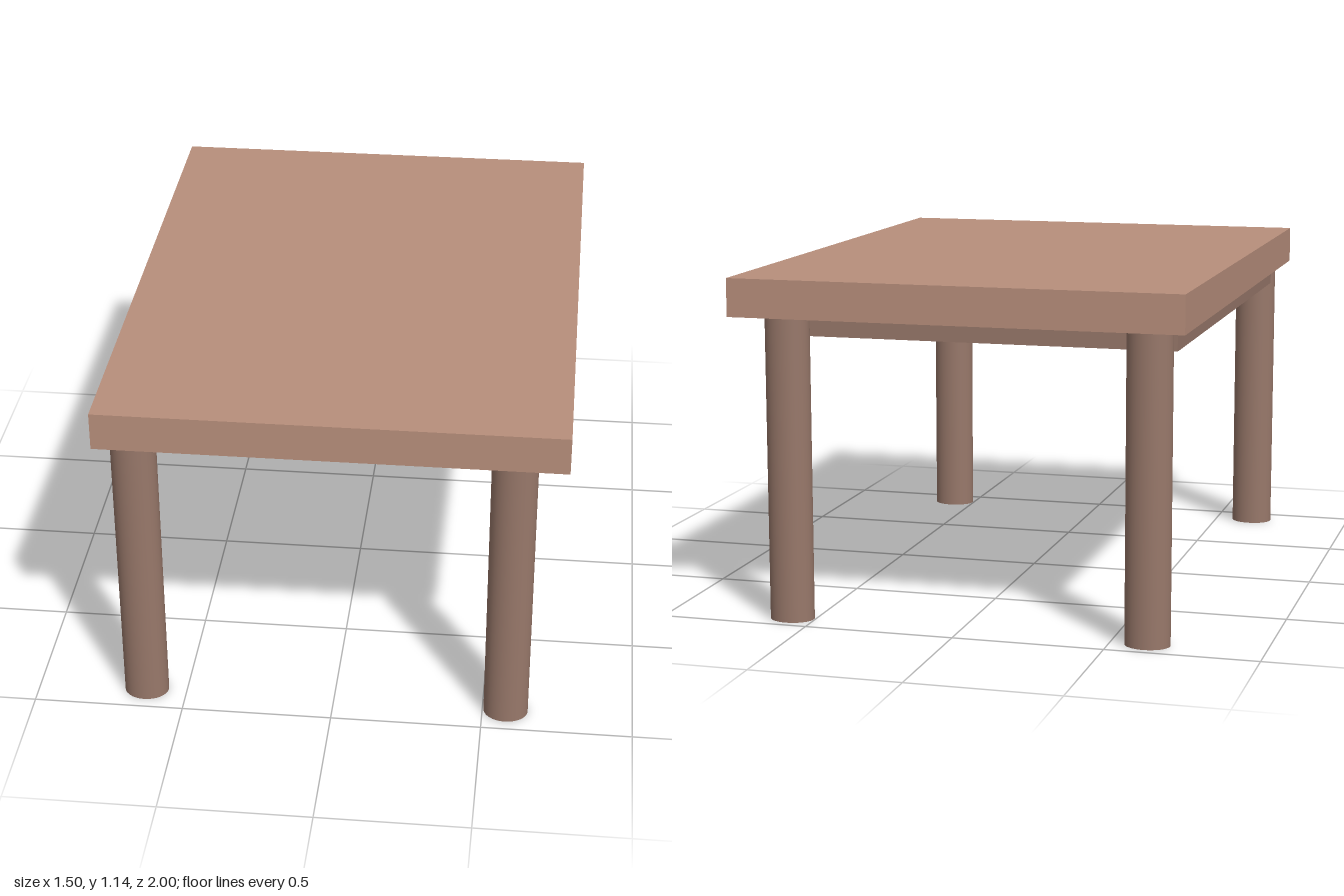
import * as THREE from 'three';

const topMaterial = new THREE.MeshStandardMaterial({ color: 0xb88f7c });
const frameMaterial = new THREE.MeshStandardMaterial({ color: 0x98786a });

// Box spanning the given [min, max] ranges
function slab(name, [x0, x1], [y0, y1], [z0, z1], material) {
  const mesh = new THREE.Mesh(new THREE.BoxGeometry(x1 - x0, y1 - y0, z1 - z0), material);
  mesh.name = name;
  mesh.position.set((x0 + x1) / 2, (y0 + y1) / 2, (z0 + z1) / 2);
  return mesh;
}

export function createModel() {
  const model = new THREE.Group();
  model.name = 'table';
  const legTop = 1.01;

  // Thick top and the recessed solid panel beneath it
  model.add(slab('tableTop', [-0.75, 0.75], [legTop, 1.136], [-1, 1], topMaterial));
  model.add(slab('underPanel', [-0.7, 0.672], [0.938, legTop], [-0.868, 0.866], frameMaterial));

  // Four slightly oval legs, set a little unevenly
  const legGeometry = new THREE.CylinderGeometry(1, 1, legTop, 32).scale(0.074, 1, 0.062);
  const legs = [
    ['frontLeftLeg', 0.578, 0.9],
    ['frontRightLeg', -0.636, 0.9],
    ['backLeftLeg', 0.578, -0.911],
    ['backRightLeg', -0.622, -0.911],
  ];
  for (const [name, x, z] of legs) {
    const leg = new THREE.Mesh(legGeometry, frameMaterial);
    leg.name = name;
    leg.position.set(x, legTop / 2, z);
    model.add(leg);
  }
  return model;
}
